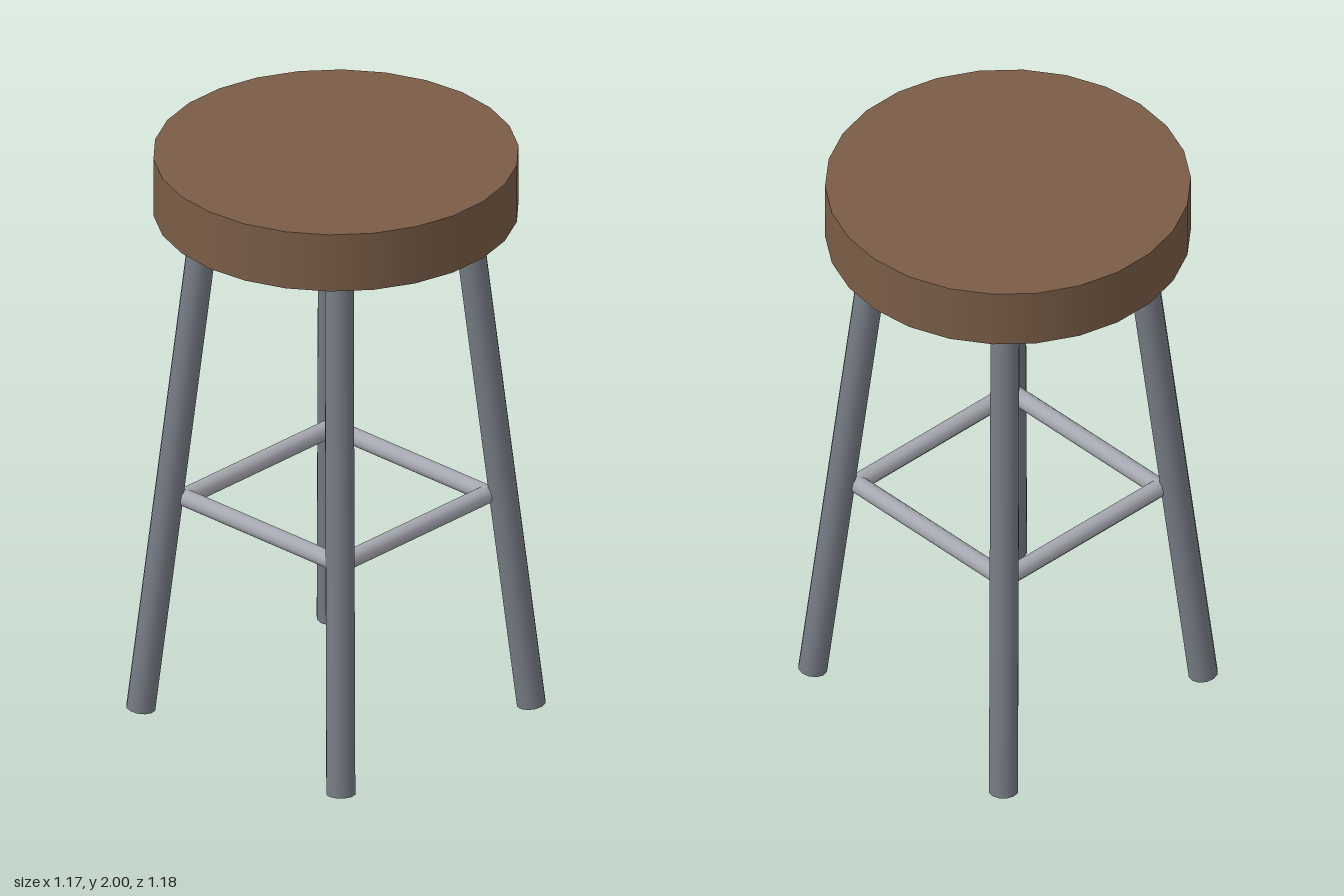
import * as THREE from 'three';

export function createModel() {
  const model = new THREE.Group();
  model.name = 'stool';

  const material = (name, color) => {
    const m = new THREE.MeshStandardMaterial({ color });
    m.name = name;
    return m;
  };
  const wood = material('brown wood', 0x7a5d47);
  const steel = material('grey steel', 0x767c85);
  const paleSteel = material('pale steel', 0xa6a9b1);

  // Straight round bar between two points
  const bar = (name, from, to, radius, sides, mat) => {
    const axis = to.clone().sub(from);
    const geometry = new THREE.CylinderGeometry(radius, radius, axis.length(), sides);
    const mesh = new THREE.Mesh(geometry, mat);
    mesh.name = name;
    mesh.position.copy(from).add(to).multiplyScalar(0.5);
    mesh.quaternion.setFromUnitVectors(new THREE.Vector3(0, 1, 0), axis.normalize());
    model.add(mesh);
  };

  // Thick round seat
  const seat = new THREE.Mesh(new THREE.CylinderGeometry(0.589, 0.589, 0.204, 26), wood);
  seat.name = 'seat';
  seat.position.y = 1.898;
  model.add(seat);

  // Four splayed legs, ending just below the seat
  for (const [side, sx] of [['Left', 1], ['Right', -1]]) {
    for (const [end, sz] of [['front', 1], ['back', -1]]) {
      bar(`${end}${side}Leg`,
        new THREE.Vector3(0.444 * sx, 0.006, 0.444 * sz),
        new THREE.Vector3(0.297 * sx, 1.768, 0.297 * sz),
        0.048, 12, steel);
    }
  }

  // Square of footrest rungs set against the inside of the legs
  const d = 0.345, y = 0.762;
  for (const s of [1, -1]) {
    bar(s > 0 ? 'frontRung' : 'backRung',
      new THREE.Vector3(-d, y, d * s), new THREE.Vector3(d, y, d * s), 0.03, 10, paleSteel);
    bar(s > 0 ? 'leftRung' : 'rightRung',
      new THREE.Vector3(d * s, y, -d), new THREE.Vector3(d * s, y, d), 0.03, 10, paleSteel);
  }

  return model;
}
